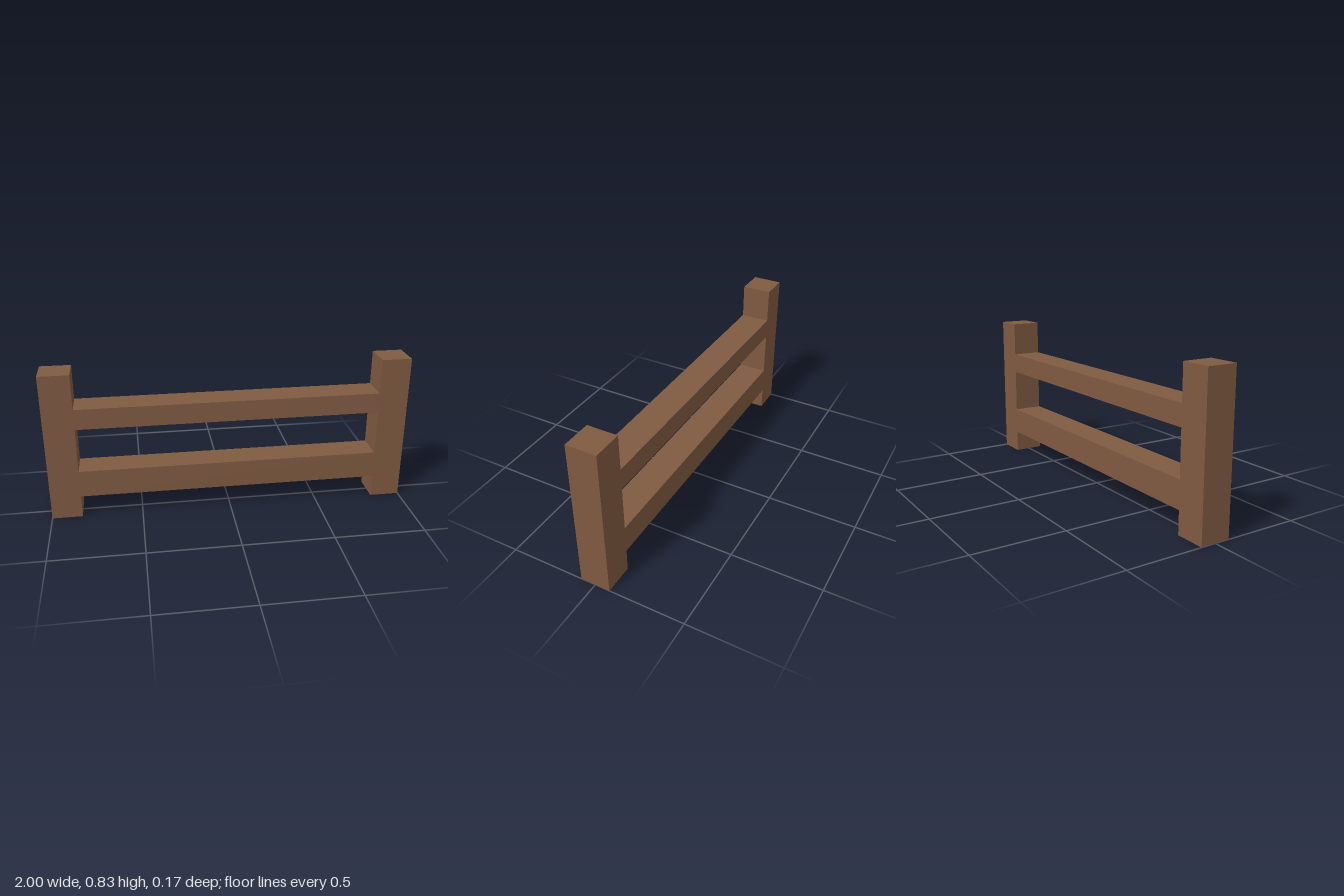
import * as THREE from 'three';

const POST = 0.166;   // post width, and depth of the whole fence
const HEIGHT = 0.834;

export function createModel() {
  const group = new THREE.Group();
  group.name = 'fence';

  const wood = new THREE.MeshStandardMaterial({ color: 0x805a41 });
  wood.name = 'brown wood';

  // Box spanning yMin..yMax, centred on x
  const addBeam = (name, x, yMin, yMax, width) => {
    const beam = new THREE.Mesh(new THREE.BoxGeometry(width, yMax - yMin, POST), wood);
    beam.name = name;
    beam.position.set(x, (yMin + yMax) / 2, 0);
    group.add(beam);
  };

  // Square end posts
  for (const [name, side] of [['leftPost', 1], ['rightPost', -1]]) {
    addBeam(name, side * (1 - POST / 2), 0, HEIGHT, POST);
  }

  // Rails, flush with the posts and fitted between them
  const span = 2 - 2 * POST;
  addBeam('lowerRail', 0, 0.126, 0.278, span);
  addBeam('upperRail', 0, 0.527, 0.641, span);

  return group;
}
